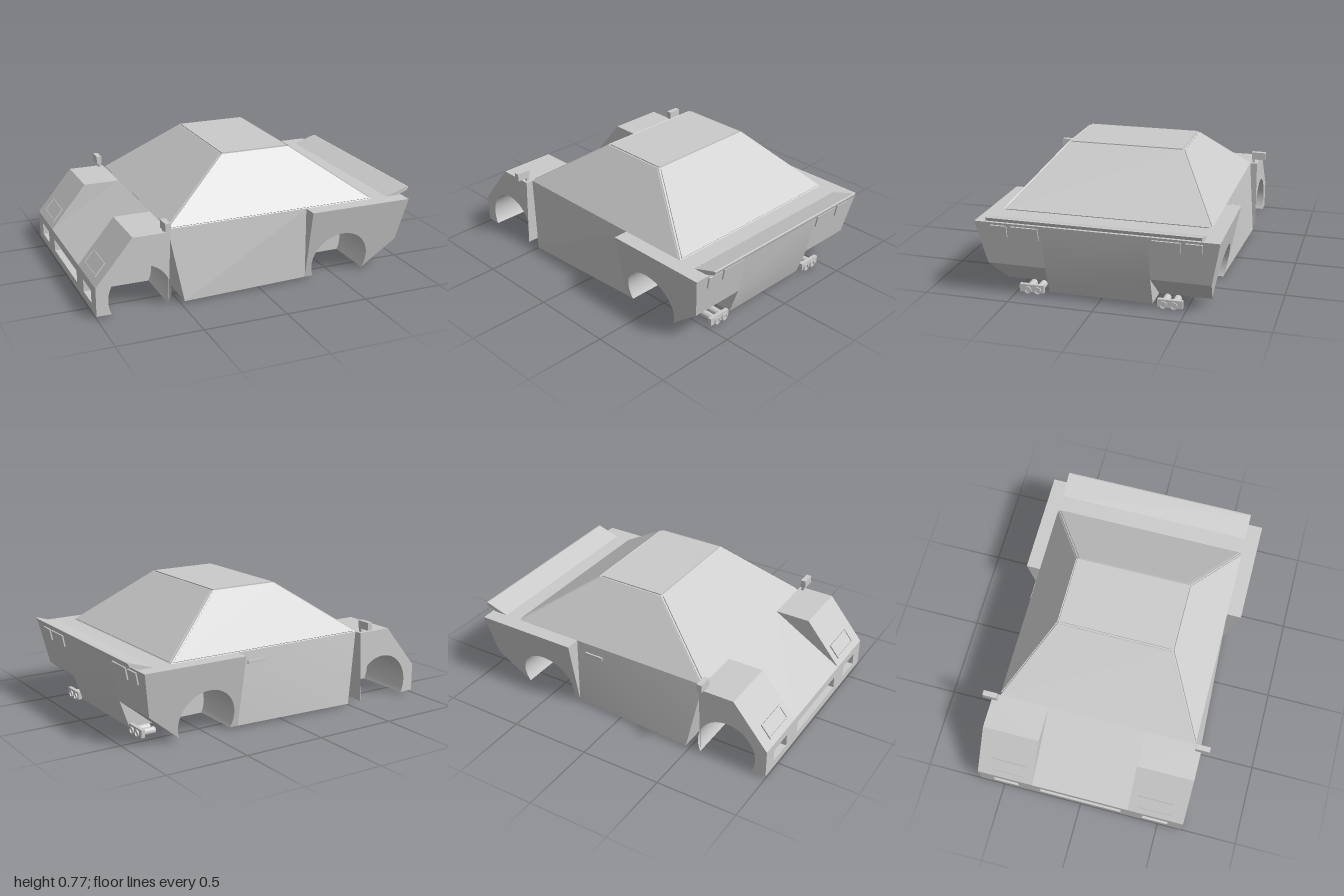
import * as THREE from 'three';
import { toCreasedNormals } from 'three/addons/utils/BufferGeometryUtils.js';

const FLOOR = 0.015, DECK = 0.45, CORE = 0.305, SIDE = 0.655;
const ARCH_R = 0.185, ARCH_Y = 0.095;

export function createModel() {
  const car = new THREE.Group();
  car.name = 'wedgeCar';
  const mat = new THREE.MeshStandardMaterial({ color: 0xcccccc });

  const add = (name, geo) => {
    const mesh = new THREE.Mesh(geo, mat);
    mesh.name = name;
    car.add(mesh);
    return mesh;
  };

  // mirrored copy across the car's centre plane, with winding restored
  const mirrorZ = (geo) => {
    const g = geo.index ? geo.toNonIndexed() : geo.clone();
    const p = g.attributes.position;
    const v = [0, 1, 2].map(() => new THREE.Vector3());
    for (let i = 0; i < p.count; i += 3) {
      v.forEach((c, k) => c.fromBufferAttribute(p, i + k));
      [0, 2, 1].forEach((k, n) => p.setXYZ(i + n, v[k].x, v[k].y, -v[k].z));
    }
    return toCreasedNormals(g, 0.5);
  };
  const addPair = (name, geo) => {
    add(name + 'Left', geo);
    add(name + 'Right', mirrorZ(geo));
  };

  // six-sided solid from two loops of four corners
  const hex = (b, t) => {
    const out = [];
    const quad = (p, q, r, s) => out.push(...p, ...q, ...r, ...p, ...r, ...s);
    quad(...t);
    quad(b[3], b[2], b[1], b[0]);
    for (let i = 0; i < 4; i++) {
      const j = (i + 1) % 4;
      quad(b[i], b[j], t[j], t[i]);
    }
    const g = new THREE.BufferGeometry();
    g.setAttribute('position', new THREE.Float32BufferAttribute(out, 3));
    g.computeVertexNormals();
    return g;
  };

  // side profile extruded from z0 to z1
  const slab = (shape, z0, z1) => {
    const g = new THREE.ExtrudeGeometry(shape, { depth: z1 - z0, bevelEnabled: false, curveSegments: 28 });
    g.translate(0, 0, z0);
    return toCreasedNormals(g, 0.5);
  };
  const poly = (pts) => new THREE.Shape(pts.map(([x, y]) => new THREE.Vector2(x, y)));

  // profile with a wheel arch cut into its lower edge
  const archProfile = (start, cx, rest) => {
    const a = Math.asin((ARCH_Y - FLOOR) / ARCH_R);
    const s = new THREE.Shape();
    s.moveTo(...start);
    s.absarc(cx, ARCH_Y, ARCH_R, -a, Math.PI + a, false);
    rest.forEach((p) => s.lineTo(...p));
    s.closePath();
    return s;
  };

  const box = (x0, x1, y0, y1, z0, z1) =>
    new THREE.BoxGeometry(x1 - x0, y1 - y0, z1 - z0)
      .translate((x0 + x1) / 2, (y0 + y1) / 2, (z0 + z1) / 2);

  // central body with the sloping bonnet
  add('centreBody', slab(poly([
    [-0.96, FLOOR], [0.84, FLOOR], [0.9, 0.185], [0.95, DECK],
    [-0.56, DECK], [-1, 0.185], [-0.96, 0.185]]), -CORE, CORE));

  // front fenders
  addPair('frontFender', slab(archProfile([-0.48, FLOOR], -0.745, [
    [-0.96, FLOOR], [-0.96, 0.185], [-1, 0.185], [-0.78, DECK], [-0.56, DECK]]), CORE, SIDE));

  // doors, leaning inwards towards the top
  addPair('door', hex(
    [[-0.48, FLOOR, SIDE], [0.305, FLOOR, 0.615], [0.305, FLOOR, CORE], [-0.48, FLOOR, CORE]],
    [[-0.56, DECK, 0.61], [0.305, DECK, 0.61], [0.305, DECK, CORE], [-0.56, DECK, CORE]]));

  // rear fenders, flaring outwards towards the top
  const rear = slab(archProfile([0.84, FLOOR], 0.525, [
    [0.305, FLOOR], [0.305, DECK], [0.95, DECK], [0.9, 0.185]]), CORE, 0.7);
  const rp = rear.attributes.position;
  for (let i = 0; i < rp.count; i++) {
    if (rp.getZ(i) > 0.5) rp.setZ(i, 0.615 + 0.195 * (rp.getY(i) - FLOOR));
  }
  addPair('rearFender', toCreasedNormals(rear, 0.5));

  // nose plate with three air intakes
  const rect = (cz, w, y0, y1) => poly([
    [cz - w / 2, y0], [cz + w / 2, y0], [cz + w / 2, y1], [cz - w / 2, y1]]);
  const nose = rect(0, SIDE * 2, FLOOR, 0.185);
  nose.holes.push(rect(0, 0.52, 0.06, 0.135), rect(0.48, 0.16, 0.06, 0.135), rect(-0.48, 0.16, 0.06, 0.135));
  add('nosePlate', new THREE.ExtrudeGeometry(nose, { depth: 0.04, bevelEnabled: false })
    .rotateY(-Math.PI / 2).translate(-0.96, 0, 0));

  // cabin
  const loop = (x0, x1, y, z) => [[x0, y, z], [x1, y, z], [x1, y, -z], [x0, y, -z]];
  const low = loop(-0.56, 0.74, DECK, 0.61);
  const top = loop(-0.125, 0.305, 0.76, 0.35);
  add('cabin', hex(low, top));

  // thin raised panel lying on one cabin face
  const panel = (corners) => {
    const c = corners.map((p) => new THREE.Vector3(...p));
    const mid = c.reduce((m, p) => m.addScaledVector(p, 0.25), new THREE.Vector3());
    const n = c[1].clone().sub(c[0]).cross(c[2].clone().sub(c[0])).normalize();
    const base = c.map((p) => p.clone().lerp(mid, 0.025));
    const lifted = base.map((p) => p.clone().addScaledVector(n, 0.006));
    return hex(base.map((p) => p.toArray()), lifted.map((p) => p.toArray()));
  };
  add('roofPanel', panel(top));
  ['sideWindowLeft', 'rearWindow', 'sideWindowRight', 'windscreen'].forEach((name, i) => {
    const j = (i + 1) % 4;
    add(name, panel([low[i], low[j], top[j], top[i]]));
  });

  // rear spoiler
  add('spoiler', slab(poly([[0.84, 0.448], [0.93, 0.45], [0.993, 0.474], [1, 0.494], [0.99, 0.496]]), -0.61, 0.61));

  // headlights: a lens inside a slim frame, on the fender slope
  const frame = rect(0.4625, 0.225, -0.047, 0.047);
  frame.holes.push(rect(0.4625, 0.205, -0.038, 0.038));
  const onSlope = (g) => g.rotateZ(Math.atan2(0.265, 0.22)).translate(-0.945, 0.251, 0);
  const rim = new THREE.ExtrudeGeometry(frame, { depth: 0.008, bevelEnabled: false })
    .rotateY(-Math.PI / 2).rotateZ(-Math.PI / 2);
  addPair('headlightFrame', onSlope(rim));
  addPair('headlightLens', onSlope(box(-0.038, 0.038, -0.002, 0.003, 0.36, 0.565)));

  // tail lights on the leaning rear panel
  [['outerTailLight', 0.51, 0.605], ['innerTailLight', 0.325, 0.485]].forEach(([name, z0, z1]) => {
    addPair(name, box(-0.008, 0.008, -0.036, 0.036, z0, z1).rotateZ(-0.187).translate(0.941, 0.4, 0));
  });

  // twin exhausts with a mounting plate
  addPair('exhaustPlate', box(0.835, 0.858, 0.008, 0.054, 0.335, 0.48));
  const pipeProfile = [[0.015, -0.05], [0.022, -0.058], [0.022, 0.058], [0.015, 0.058], [0.015, -0.05]]
    .map(([r, y]) => new THREE.Vector2(r, y));
  [0.37, 0.43].forEach((z, i) => {
    const pipe = new THREE.LatheGeometry(pipeProfile, 20).rotateZ(-Math.PI / 2).translate(0.808, 0.022, z);
    addPair(i ? 'outerExhaust' : 'innerExhaust', toCreasedNormals(pipe, 0.5));
  });

  // door mirrors
  addPair('mirrorStem', box(-0.597, -0.58, 0.445, 0.48, 0.62, 0.636));
  addPair('mirrorHousing', box(-0.607, -0.575, 0.473, 0.521, 0.617, 0.704));

  // door handle
  add('doorHandle', box(0.12, 0.24, 0.375, 0.395, -0.626, -0.6));

  return car;
}
